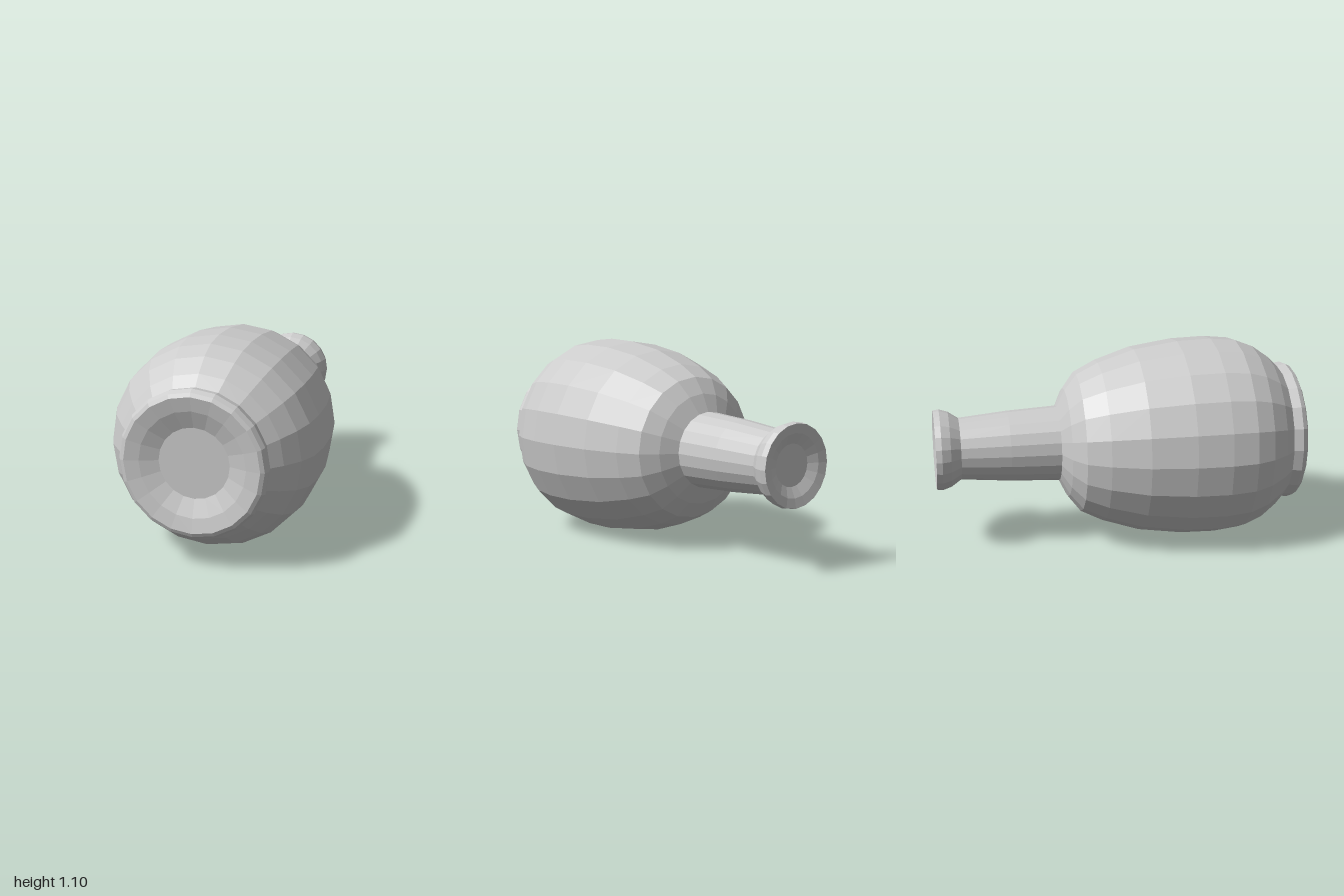
import * as THREE from 'three';

const SIDES = 20;
const CENTRE_Y = 0.553;

export function createModel() {
  const group = new THREE.Group();
  group.name = 'lyingBottle';
  const material = new THREE.MeshStandardMaterial({ color: 0xcccccc, flatShading: true });

  // Turns a [radius, z] profile, ordered from base to mouth, about the z axis
  const turned = (name, profile) => {
    const points = profile.map(([r, z]) => new THREE.Vector2(r, -z));
    const geometry = new THREE.LatheGeometry(points, SIDES);
    geometry.rotateX(-Math.PI / 2);
    const mesh = new THREE.Mesh(geometry, material);
    mesh.name = name;
    mesh.position.y = CENTRE_Y;
    group.add(mesh);
  };

  // Foot ring with a shallow hollow underneath
  turned('foot', [
    [0, 0.95], [0.183, 0.95], [0.275, 0.985], [0.35, 1],
    [0.37, 0.99], [0.384, 0.965], [0.376, 0.915],
  ]);

  // Rounded belly narrowing to the shoulder
  turned('body', [
    [0.376, 0.915], [0.43, 0.86], [0.495, 0.77], [0.535, 0.67], [0.55, 0.53],
    [0.545, 0.34], [0.51, 0.1], [0.445, -0.1], [0.385, -0.22], [0.3, -0.285],
    [0.206, -0.33],
  ]);

  // Slightly tapered neck
  turned('neck', [[0.206, -0.33], [0.192, -0.6], [0.168, -0.865]]);

  // Flared lip with a dished mouth
  turned('lip', [
    [0.168, -0.865], [0.205, -0.92], [0.22, -0.968], [0.215, -1],
    [0.165, -0.99], [0.11, -0.965], [0, -0.965],
  ]);

  return group;
}
